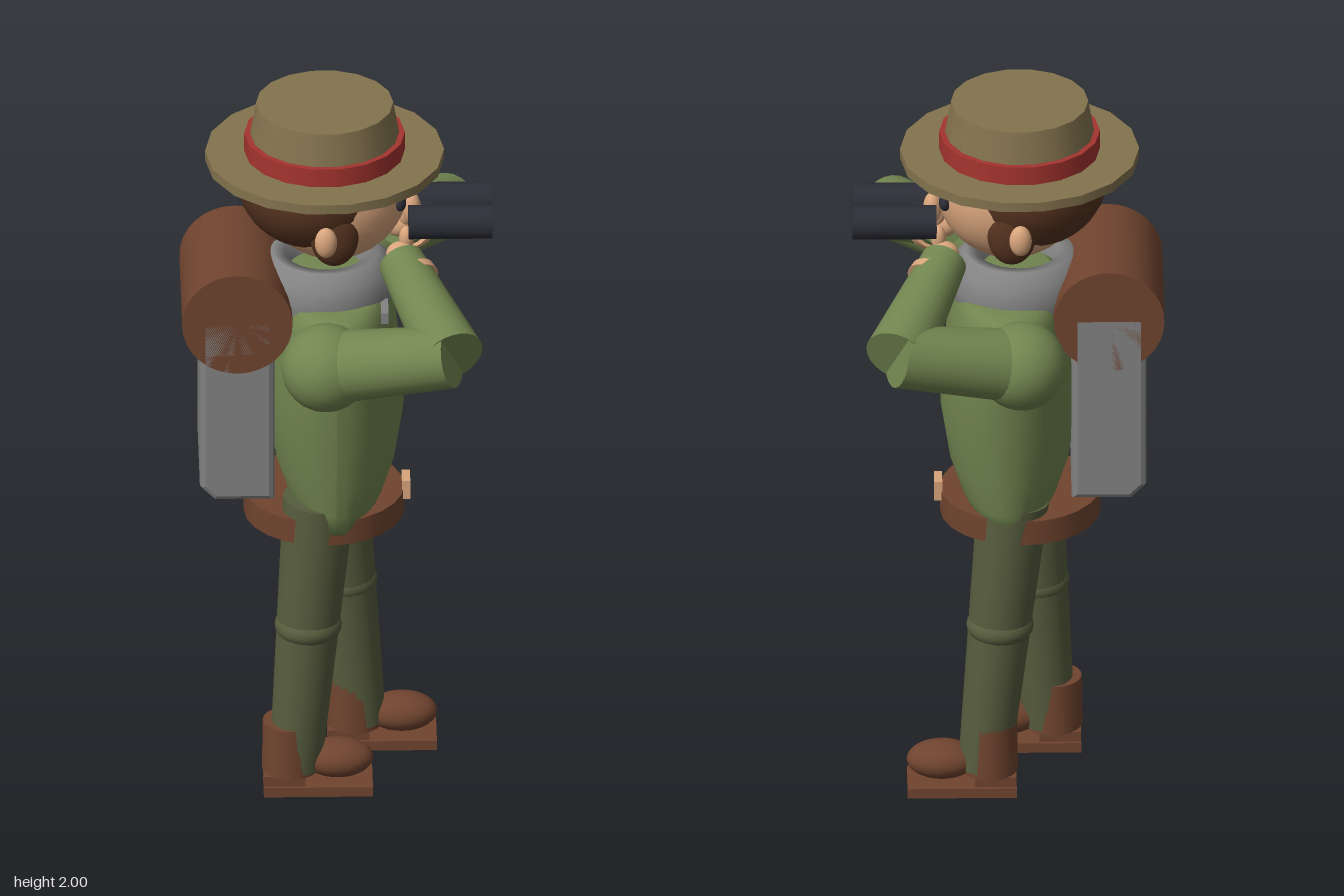
import * as THREE from 'three';

const flat = (name, color) => {
  const m = new THREE.MeshStandardMaterial({ color });
  m.name = name;
  return m;
};
const felt = flat('hat felt', 0x83734e);
const red = flat('red band', 0xa5342f);
const skin = flat('skin', 0xd9a57c);
const hair = flat('dark brown hair', 0x54321f);
const jacket = flat('green jacket', 0x728650);
const trousers = flat('olive trousers', 0x575d3e);
const leather = flat('brown leather', 0x70442f);
const grey = flat('grey canvas', 0x838383);
const black = flat('black', 0x2c2d36);

export function createModel() {
  const root = new THREE.Group();
  root.name = 'explorer';

  const add = (name, geo, mat, x = 0, y = 0, z = 0) => {
    const m = new THREE.Mesh(geo, mat);
    m.name = name;
    m.position.set(x, y, z);
    root.add(m);
    return m;
  };
  const blob = (name, mat, [x, y, z], [rx, ry, rz]) => {
    const m = add(name, new THREE.SphereGeometry(1, 28, 18), mat, x, y, z);
    m.scale.set(rx, ry, rz);
    return m;
  };
  const box = (name, mat, [x, y, z], size) => add(name, new THREE.BoxGeometry(...size), mat, x, y, z);
  // upright cylinder between two heights, with a corner on the x axis
  const drum = (name, mat, x, z, y0, y1, r0, r1, n = 18) => {
    const m = add(name, new THREE.CylinderGeometry(r1, r0, y1 - y0, n), mat, x, (y0 + y1) / 2, z);
    m.rotation.y = Math.PI / 2;
    return m;
  };
  // tapered cylinder from point a to point b
  const limb = (name, mat, a, b, ra, rb, n = 24) => {
    const p = new THREE.Vector3(...a), q = new THREE.Vector3(...b);
    const d = q.clone().sub(p);
    const m = add(name, new THREE.CylinderGeometry(rb, ra, d.length(), n), mat);
    m.position.copy(p).add(q).multiplyScalar(0.5);
    m.quaternion.setFromUnitVectors(new THREE.Vector3(0, 1, 0), d.normalize());
    return m;
  };
  // body of elliptical rings, each [y, x radius, z radius], from bottom to top
  const loft = (name, mat, rings, x) => {
    const g = new THREE.LatheGeometry(rings.map(r => new THREE.Vector2(1, r[0])), 36);
    const p = g.attributes.position;
    for (let i = 0; i < p.count; i++) {
      const [, rx, rz] = rings[i % rings.length];
      p.setX(i, p.getX(i) * rx);
      p.setZ(i, p.getZ(i) * rz);
    }
    g.computeVertexNormals();
    return add(name, g, mat, x);
  };

  // hat
  drum('hatBrim', felt, -0.033, 0, 1.83, 1.857, 0.32, 0.32);
  drum('hatBand', red, -0.033, 0, 1.857, 1.91, 0.215, 0.215);
  drum('hatCrown', felt, -0.033, 0, 1.85, 2, 0.21, 0.184);

  // head
  blob('head', skin, [-0.01, 1.745, 0], [0.2, 0.195, 0.188]);
  blob('hair', hair, [-0.06, 1.77, 0], [0.207, 0.18, 0.213]);
  blob('nose', skin, [0.2, 1.68, 0], [0.025, 0.045, 0.026]);
  for (const s of [1, -1]) {
    blob('fringe', hair, [0.1, 1.815, s * 0.125], [0.075, 0.03, 0.05]);
    blob('sideburn', hair, [-0.01, 1.68, s * 0.165], [0.065, 0.085, 0.04]);
    blob('ear', skin, [-0.033, 1.685, s * 0.207], [0.03, 0.044, 0.024]);
    blob('eye', black, [0.168, 1.74, s * 0.085], [0.016, 0.024, 0.022]);
    const brow = box('eyebrow', hair, [0.165, 1.808, s * 0.085], [0.03, 0.016, 0.06]);
    brow.rotation.y = s * 0.35;
  }

  // binoculars
  for (const s of [1, -1])
    limb('binocularBarrel', black, [0.19, 1.67, s * 0.065], [0.415, 1.67, s * 0.065], 0.046, 0.046);
  box('binocularBridge', black, [0.23, 1.67, 0], [0.05, 0.03, 0.06]);

  // scarf
  add('scarf', new THREE.LatheGeometry([
    [0.18, 1.43], [0.19, 1.47], [0.175, 1.52], [0.143, 1.555], [0.11, 1.552], [0.1, 1.5],
  ].map(p => new THREE.Vector2(...p)), 28), grey, -0.03);

  // torso
  loft('jacketBody', jacket, [
    [0.8, 0.0, 0.0], [0.8, 0.1, 0.215], [0.86, 0.13, 0.226], [0.95, 0.16, 0.243], [1.1, 0.184, 0.265],
    [1.22, 0.18, 0.282], [1.35, 0.165, 0.297], [1.42, 0.15, 0.285], [1.455, 0.135, 0.25],
    [1.465, 0.125, 0.2], [1.467, 0, 0],
  ], -0.005);
  box('pocketFlap', grey, [0.125, 1.44, 0.14], [0.02, 0.032, 0.085]);

  // belt and hips
  drum('belt', leather, -0.035, 0, 0.77, 0.84, 0.215, 0.215, 24);
  drum('hips', trousers, -0.035, 0, 0.745, 0.8, 0.172, 0.178, 24);
  box('beltBuckle', skin, [0.185, 0.84, 0], [0.022, 0.055, 0.065]);

  // backpack with rolled blanket
  const w = 0.17, h = 0.52, b = 0.03;
  const side = new THREE.Shape([
    [-w / 2, b - h / 2], [b - w / 2, -h / 2], [w / 2, -h / 2], [w / 2, h / 2], [-w / 2, h / 2],
  ].map(p => new THREE.Vector2(...p)));
  const packGeo = new THREE.ExtrudeGeometry(side, {
    depth: 0.36, bevelThickness: 0.02, bevelSize: 0.015, bevelSegments: 2,
  });
  packGeo.translate(0, 0, -0.18);
  add('backpack', packGeo, grey, -0.27, 1.175, 0);
  limb('blanketRoll', leather, [-0.27, 1.435, -0.2], [-0.27, 1.435, 0.2], 0.148, 0.148, 32);

  // arms raised to the binoculars
  for (const s of [1, -1]) {
    const elbow = [0.3, 1.455, s * 0.43];
    blob('shoulder', jacket, [-0.035, 1.37, s * 0.325], [0.12, 0.12, 0.118]);
    limb('upperArm', jacket, [-0.035, 1.37, s * 0.325], elbow, 0.1, 0.084);
    limb('forearm', jacket, elbow, [0.17, 1.575, s * 0.11], 0.088, 0.062);
    limb('cuff', skin, [0.205, 1.544, s * 0.173], [0.194, 1.554, s * 0.153], 0.071, 0.069);
    blob('hand', skin, [0.17, 1.585, s * 0.085], [0.04, 0.035, 0.032]);
    blob('thumb', skin, [0.185, 1.625, s * 0.07], [0.02, 0.035, 0.02]);
  }

  // legs and boots, the left one trailing
  for (const [s, hipX, footX] of [[1, -0.05, -0.113], [-1, -0.015, 0.063]]) {
    const z = s * 0.13;
    const kneeX = footX + (hipX - footX) * 0.54;
    limb('leg', trousers, [footX, 0.065, z], [hipX, 0.87, s * 0.125], 0.07, 0.097);
    blob('knee', trousers, [kneeX, 0.49, z], [0.09, 0.055, 0.09]);
    drum('bootShaft', leather, footX - 0.014, z, 0.055, 0.2, 0.076, 0.074, 20);
    blob('bootToe', leather, [footX + 0.113, 0.085, z], [0.095, 0.052, 0.066]);
    box('bootSole', leather, [footX + 0.06, 0.014, z], [0.292, 0.028, 0.138]);
    box('bootHeel', leather, [footX - 0.03, 0.042, z], [0.11, 0.03, 0.12]);
  }
  return root;
}
